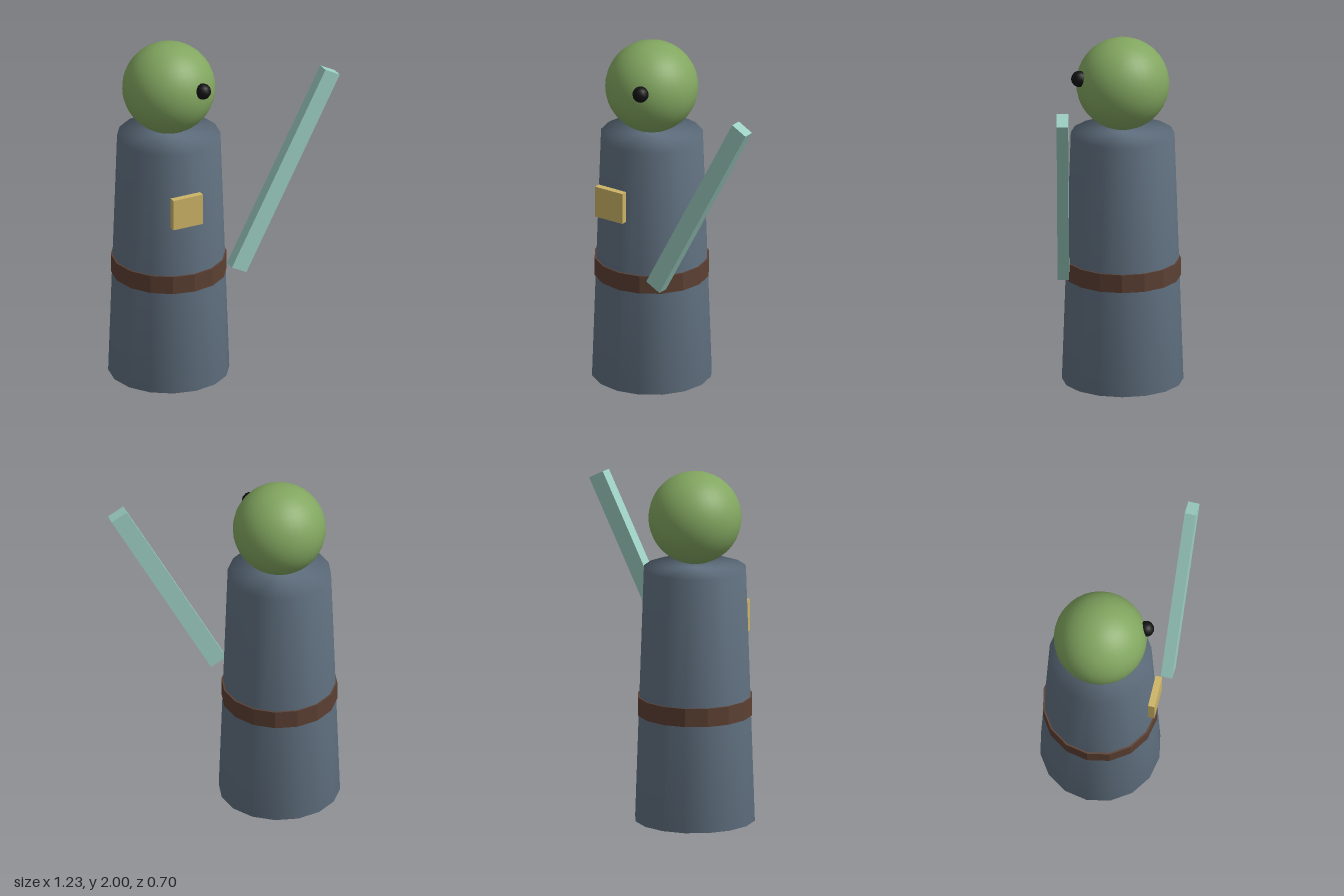
import * as THREE from 'three';
import { mergeVertices } from 'three/addons/utils/BufferGeometryUtils.js';

const mat = (name, color, opts = {}) => {
  const m = new THREE.MeshStandardMaterial({ color, ...opts });
  m.name = name;
  return m;
};

// Share vertices across the cap edges so the shading rolls over them
function softened(geometry) {
  geometry.deleteAttribute('uv');
  geometry.deleteAttribute('normal');
  const merged = mergeVertices(geometry, 1e-4);
  merged.computeVertexNormals();
  return merged;
}

export function createModel() {
  const model = new THREE.Group();
  model.name = 'robedFigure';

  const robe = mat('robe slate', 0x627282);
  const skin = mat('skin green', 0x82a660);
  const leather = mat('belt brown', 0x5c4033, { flatShading: true });
  const black = mat('eye black', 0x111111);
  const gold = mat('badge gold', 0xccb466);
  const glow = mat('blade teal', 0x9ccec2);

  const add = (name, geometry, material, x, y, z) => {
    const mesh = new THREE.Mesh(geometry, material);
    mesh.name = name;
    mesh.position.set(x, y, z);
    model.add(mesh);
    return mesh;
  };

  const cx = -0.277, cz = -0.01; // body axis

  // Tapered robe and its belt
  add('body', softened(new THREE.CylinderGeometry(0.29, 0.34, 1.45, 16)), robe, cx, 0.725, cz);
  add('belt', new THREE.CylinderGeometry(0.325, 0.325, 0.105, 16), leather, cx, 0.662, cz);

  // Floating head with a single eye
  add('head', new THREE.SphereGeometry(0.261, 32, 20), skin, cx, 1.739, cz);
  add('eye', new THREE.SphereGeometry(0.046, 12, 8), black, -0.185, 1.795, 0.232);

  // Chest badge
  add('badge', new THREE.BoxGeometry(0.185, 0.182, 0.037), gold, -0.33, 1.12, 0.317);

  // Slanted blade held in front
  const blade = add('blade', new THREE.BoxGeometry(0.102, 1.246, 0.065), glow, 0.275, 1.253, 0.319);
  blade.rotation.z = -0.49;

  return model;
}
